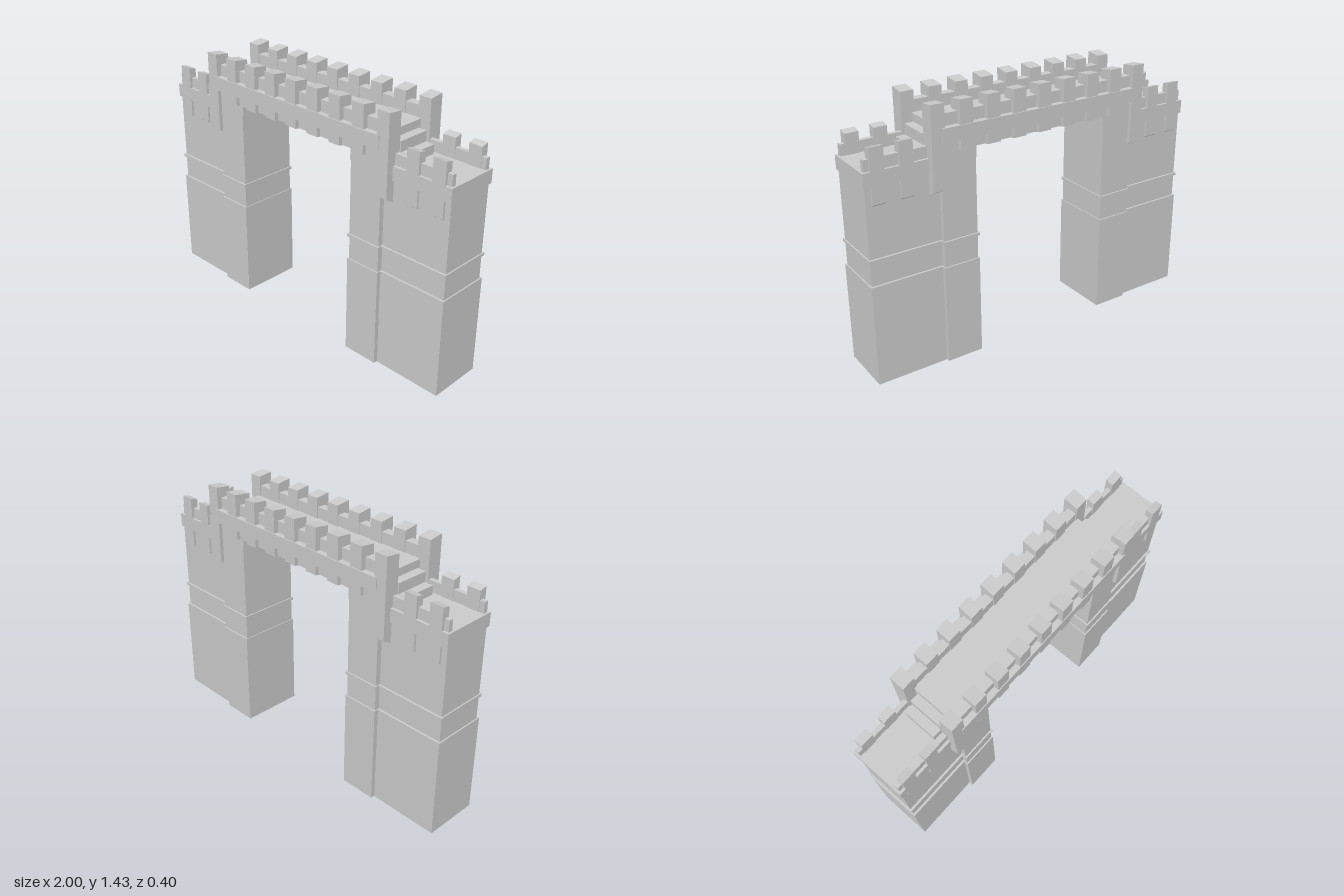
import * as THREE from 'three';

export function createModel() {
  const model = new THREE.Group();
  const stone = new THREE.MeshStandardMaterial({ color: 0xcccccc, flatShading: true });
  const shell = new THREE.MeshStandardMaterial({ color: 0xcccccc, flatShading: true, side: THREE.DoubleSide });

  const add = (parent, name, geometry, material = stone) => {
    const mesh = new THREE.Mesh(geometry, material);
    mesh.name = name;
    parent.add(mesh);
    return mesh;
  };

  // Box given by its limits on each axis
  const boxGeometry = (x0, x1, y0, y1, z0, z1) =>
    new THREE.BoxGeometry(x1 - x0, y1 - y0, z1 - z0)
      .translate((x0 + x1) / 2, (y0 + y1) / 2, (z0 + z1) / 2);
  const box = (parent, name, ...limits) => add(parent, name, boxGeometry(...limits));

  // Hollow block without a bottom face
  const openBox = (parent, name, ...limits) => {
    const g = boxGeometry(...limits);
    const index = Array.from(g.index.array);
    index.splice(18, 6);
    g.setIndex(index);
    g.clearGroups();
    return add(parent, name, g, shell);
  };

  // Profile of [z, y] points drawn out along x; side -1 puts it on the back
  const prism = (parent, name, profile, x0, x1, side) => {
    const shape = new THREE.Shape(profile.map(([z, y]) => new THREE.Vector2(z * side, y)));
    const g = new THREE.ExtrudeGeometry(shape, { depth: x1 - x0, bevelEnabled: false });
    return add(parent, name, g.rotateY(-Math.PI / 2).translate(x1, 0, 0), stone);
  };

  // Limits mirrored across x = 0
  const mx = (s, a, b) => (s > 0 ? [a, b] : [-b, -a]);
  const mz = mx;

  for (const s of [1, -1]) {
    const tower = new THREE.Group();
    tower.name = s > 0 ? 'leftTower' : 'rightTower';
    model.add(tower);

    // Outer tower
    openBox(tower, 'towerBase', ...mx(s, 0.5, 1), 0, 0.56, -0.155, 0.155);
    box(tower, 'towerShaft', ...mx(s, 0.5, 0.993), 0.555, 1.1, -0.143, 0.143);
    box(tower, 'towerStringCourse', ...mx(s, 0.55, 1), 0.69, 0.705, -0.155, 0.155);
    box(tower, 'towerPlatform', ...mx(s, 0.59, 1), 1.08, 1.155, -0.155, 0.155);

    // Inner pillar carrying the bridge
    openBox(tower, 'pillarBase', ...mx(s, 0.4, 0.605), 0.004, 0.56, -0.18, 0.18);
    box(tower, 'pillarShaft', ...mx(s, 0.405, 0.6), 0.555, 1.18, -0.172, 0.172);
    box(tower, 'pillarStringCourse', ...mx(s, 0.398, 0.605), 0.69, 0.705, -0.181, 0.181);
    box(tower, 'pillarCap', ...mx(s, 0.4, 0.5), 1.115, 1.18, -0.172, 0.172);

    // Steps from the tower platform up to the bridge
    box(tower, 'upperStep', ...mx(s, 0.59, 0.65), 1.15, 1.262, -0.095, 0.095);
    box(tower, 'lowerStep', ...mx(s, 0.65, 0.7), 1.15, 1.205, -0.095, 0.095);

    for (const side of [1, -1]) {
      // Tower parapet with merlons above and corbels below
      box(tower, 'towerParapet', ...mx(s, 0.64, 0.988), 1.15, 1.215, ...mz(side, 0.115, 0.14));
      for (const c of [0.773, 0.924]) {
        const span = mx(s, c - 0.037, c + 0.037);
        prism(tower, 'towerMerlon', [[0.155, 1.15], [0.155, 1.275], [0.112, 1.265], [0.112, 1.15]], ...span, side);
        prism(tower, 'towerCorbel', [[0.155, 0.987], [0.155, 1.085], [0.14, 1.085], [0.14, 0.977]], ...span, side);
      }
      // Tall corner post at the end of the bridge
      prism(tower, 'cornerPost',
        [[0.193, 0.99], [0.193, 1.43], [0.11, 1.42], [0.11, 1.15], [0.14, 1.15], [0.14, 0.963]],
        ...mx(s, 0.583, 0.656), side);
    }
  }

  // Bridge
  const bridge = new THREE.Group();
  bridge.name = 'bridge';
  model.add(bridge);
  box(bridge, 'bridgeDeck', -0.6, 0.6, 1.175, 1.305, -0.172, 0.172);
  for (const side of [1, -1]) {
    box(bridge, 'bridgeBand', -0.6, 0.6, 1.23, 1.305, ...mz(side, 0.16, 0.198));
    box(bridge, 'bridgeParapet', -0.6, 0.6, 1.3, 1.368, ...mz(side, 0.115, 0.165));
    for (let i = -3; i <= 3; i++) {
      const span = [i * 0.154 - 0.037, i * 0.154 + 0.037];
      prism(bridge, 'bridgeMerlon', [[0.193, 1.3], [0.193, 1.43], [0.11, 1.42], [0.11, 1.3]], ...span, side);
      prism(bridge, 'bridgeCorbel', [[0.193, 1.176], [0.193, 1.235], [0.14, 1.235], [0.14, 1.166]], ...span, side);
    }
  }

  return model;
}
